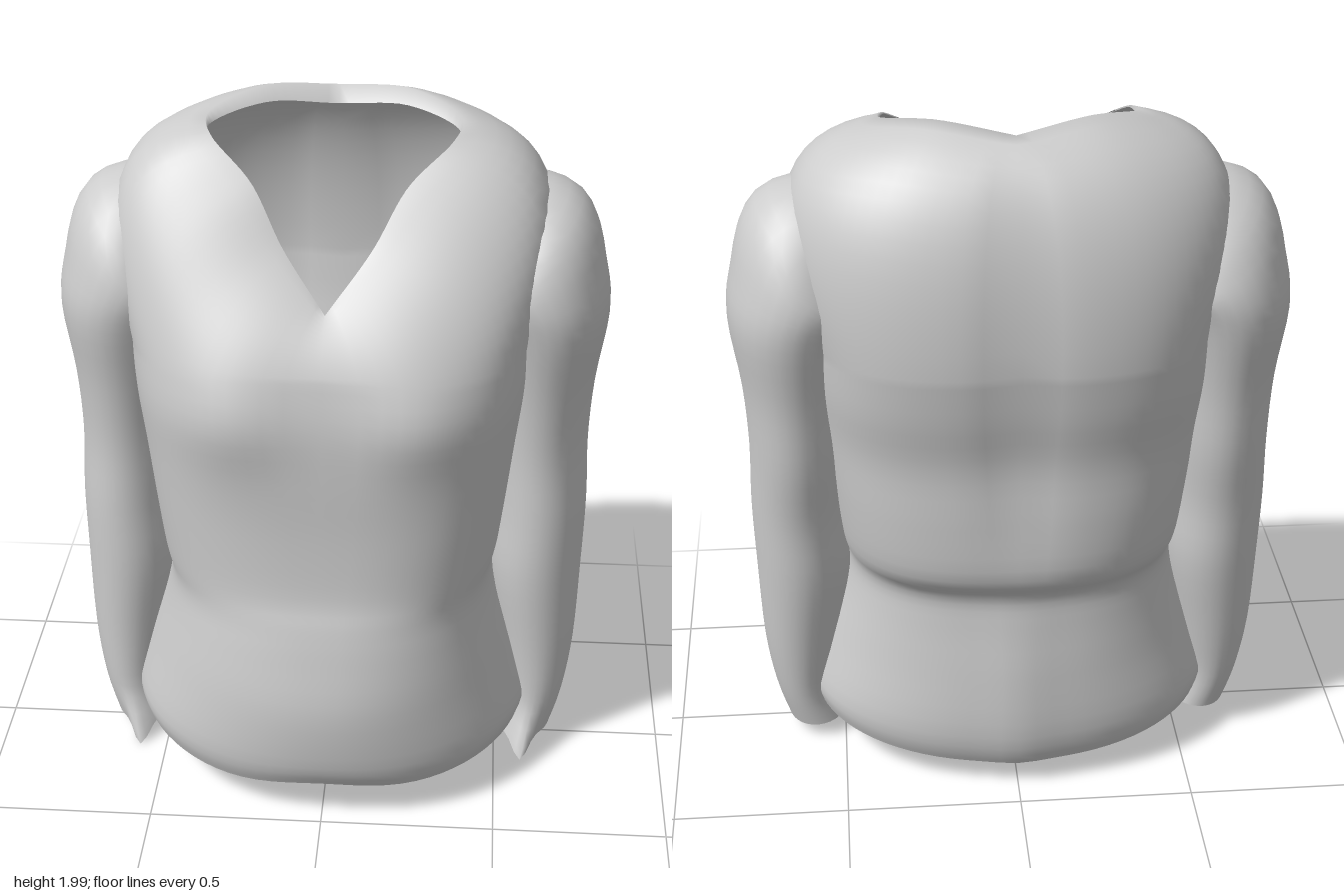
import * as THREE from 'three';

// Smooth lookup in a table of rows, at fractional row position f
function sampleRows(table, f) {
  const last = table.length - 1;
  const i = Math.min(Math.floor(f), last - 1), t = f - i;
  const row = k => table[Math.max(0, Math.min(last, k))];
  return table[0].map((_, c) => {
    const [p0, p1, p2, p3] = [row(i - 1)[c], row(i)[c], row(i + 1)[c], row(i + 2)[c]];
    const m1 = (p2 - p0) / 2, m2 = (p3 - p1) / 2;
    return (2 * t ** 3 - 3 * t * t + 1) * p1 + (t ** 3 - 2 * t * t + t) * m1
      + (3 * t * t - 2 * t ** 3) * p2 + (t ** 3 - t * t) * m2;
  });
}

// Open-ended tube skin: rows of rings, seam welded for smooth normals
function skin(rows, cols, point) {
  const pos = [], idx = [];
  for (let i = 0; i < rows; i++) {
    for (let j = 0; j < cols; j++) {
      pos.push(...point(i, (j / cols) * Math.PI * 2));
      if (i === rows - 1) continue;
      const a = i * cols + j, b = i * cols + (j + 1) % cols;
      idx.push(a, b, a + cols, b, b + cols, a + cols);
    }
  }
  const g = new THREE.BufferGeometry();
  g.setAttribute('position', new THREE.Float32BufferAttribute(pos, 3));
  g.setIndex(idx);
  g.computeVertexNormals();
  return g;
}

const bump = (d, w) => Math.exp(-((d / w) ** 2));

// Torso sections: y, half width, front z, back z, squareness
const torsoRows = [
  [0.12, 0.58, 0.49, -0.41, 2.1],
  [0.20, 0.59, 0.52, -0.44, 2.1],
  [0.38, 0.54, 0.53, -0.43, 2.1],
  [0.54, 0.49, 0.50, -0.41, 2.3],
  [0.64, 0.475, 0.475, -0.41, 2.4],
  [0.73, 0.49, 0.45, -0.47, 2.6],
  [0.90, 0.51, 0.44, -0.48, 2.8],
  [1.08, 0.53, 0.44, -0.48, 2.9],
  [1.24, 0.55, 0.43, -0.51, 3],
  [1.38, 0.56, 0.405, -0.53, 3],
];

// Half of the neck edge, from the point of the V round to the nape
const neckHalf = new THREE.CatmullRomCurve3([
  [0, 1.53, 0.30], [0.12, 1.68, 0.205], [0.21, 1.83, 0.12], [0.33, 1.93, 0.02],
  [0.345, 1.955, -0.09], [0.20, 1.99, -0.22], [0, 1.97, -0.30],
].map(p => new THREE.Vector3(...p)));

function torsoPoint(f, t) {
  let [y, hw, zf, zb, n] = sampleRows(torsoRows, f);
  const s = Math.sin(t), c = Math.cos(t);
  const mid = -0.03;
  const x = hw * Math.sign(s) * Math.abs(s) ** (2 / n);
  let z = mid + (c > 0 ? zf - mid : mid - zb) * Math.sign(c) * Math.abs(c) ** (2 / n);
  if (c > 0) {
    z += 0.04 * bump(Math.abs(x) - 0.26, 0.17) * bump(y - 1.27, 0.15);
  } else {
    // Spine hollow above the waist, small pleat below
    z += (0.035 * THREE.MathUtils.smoothstep(y, 0.5, 1.1) - 0.012) * bump(x, 0.08);
  }
  const low = bump(y - 0.12, 0.08); // uneven hem
  y += low * (c > 0 ? 0.03 * bump(x, 0.2) - 0.02 * c : 0.04 * c) + low * 0.03 * s * s;
  return new THREE.Vector3(x, y, z);
}

function torsoGeometry() {
  const body = 37, yoke = 14, cols = 80;
  return skin(body + yoke + 1, cols, (i, t) => {
    if (i < body) return torsoPoint((i / (body - 1)) * (torsoRows.length - 1), t).toArray();
    // Yoke: curve each column from the chest out over the shoulder to the neck edge
    const p = torsoPoint(torsoRows.length - 1, t);
    const right = t > Math.PI;
    const n = neckHalf.getPoint((right ? 2 * Math.PI - t : t) / Math.PI);
    if (right) n.x *= -1;
    const back = (1 - Math.cos(t)) / 2;
    const round = 0.3 + 0.7 * Math.min(1, back * 2);
    const wide = 1.05 + 0.26 * Math.sin(t) ** 2;
    const ctrl = p.clone().lerp(n, 0.5).lerp(
      new THREE.Vector3(p.x * wide, p.y + (n.y - p.y) * (0.84 + 0.11 * Math.sin(t) ** 2), p.z), round);
    if (i === body + yoke) { // narrow turned-in edge at the nape
      const k = Math.max(0, -Math.cos(t));
      return [n.x * (1 - 0.06 * k), n.y - 0.04 * k - 0.004, n.z + 0.035 * k];
    }
    const v = (i - body + 1) / yoke;
    return p.multiplyScalar((1 - v) ** 2)
      .addScaledVector(ctrl, 2 * v * (1 - v)).addScaledVector(n, v * v).toArray();
  });
}

// Sleeve rings, cuff to shoulder: x, y, z, tilt in degrees, half width, half depth
const sleeveRows = [
  [0.58, 0.05, -0.02, -5, 0.09, 0.12],
  [0.615, 0.17, -0.03, 0, 0.09, 0.13],
  [0.615, 0.35, -0.045, 0, 0.115, 0.15],
  [0.60, 0.60, -0.06, 0, 0.14, 0.18],
  [0.605, 0.80, -0.07, 0, 0.14, 0.19],
  [0.60, 1.00, -0.09, 0, 0.14, 0.21],
  [0.60, 1.20, -0.09, 0, 0.15, 0.235],
  [0.60, 1.40, -0.09, 5, 0.18, 0.275],
  [0.57, 1.50, -0.09, 20, 0.20, 0.28],
  [0.52, 1.56, -0.09, 48, 0.25, 0.255],
  [0.47, 1.60, -0.10, 72, 0.21, 0.20],
];

function sleeveGeometry(side) {
  const rows = 41, cols = 32;
  return skin(rows, cols, (i, t) => {
    const [x, y, z, tilt, a, b] = sampleRows(sleeveRows, (i / (rows - 1)) * (sleeveRows.length - 1));
    const r = THREE.MathUtils.degToRad(tilt);
    const s = Math.sin(t) * side, c = Math.cos(t);
    // Hanging point at the front of the cuff
    const tip = bump(y - 0.05, 0.05) * bump(Math.min(t, Math.PI * 2 - t), 0.35);
    return [
      side * (x + a * s * Math.cos(r)),
      y + a * s * Math.sin(r) - 0.05 * tip,
      z + b * c + 0.06 * tip,
    ];
  });
}

export function createModel() {
  const cloth = new THREE.MeshStandardMaterial({ color: 0xcccccc, side: THREE.DoubleSide });
  cloth.name = 'light grey cloth';
  const group = new THREE.Group();
  group.name = 'longSleevedTop';
  const add = (name, geometry) => {
    const mesh = new THREE.Mesh(geometry, cloth);
    mesh.name = name;
    group.add(mesh);
  };
  add('torso', torsoGeometry());
  add('leftSleeve', sleeveGeometry(1));
  add('rightSleeve', sleeveGeometry(-1));
  return group;
}
